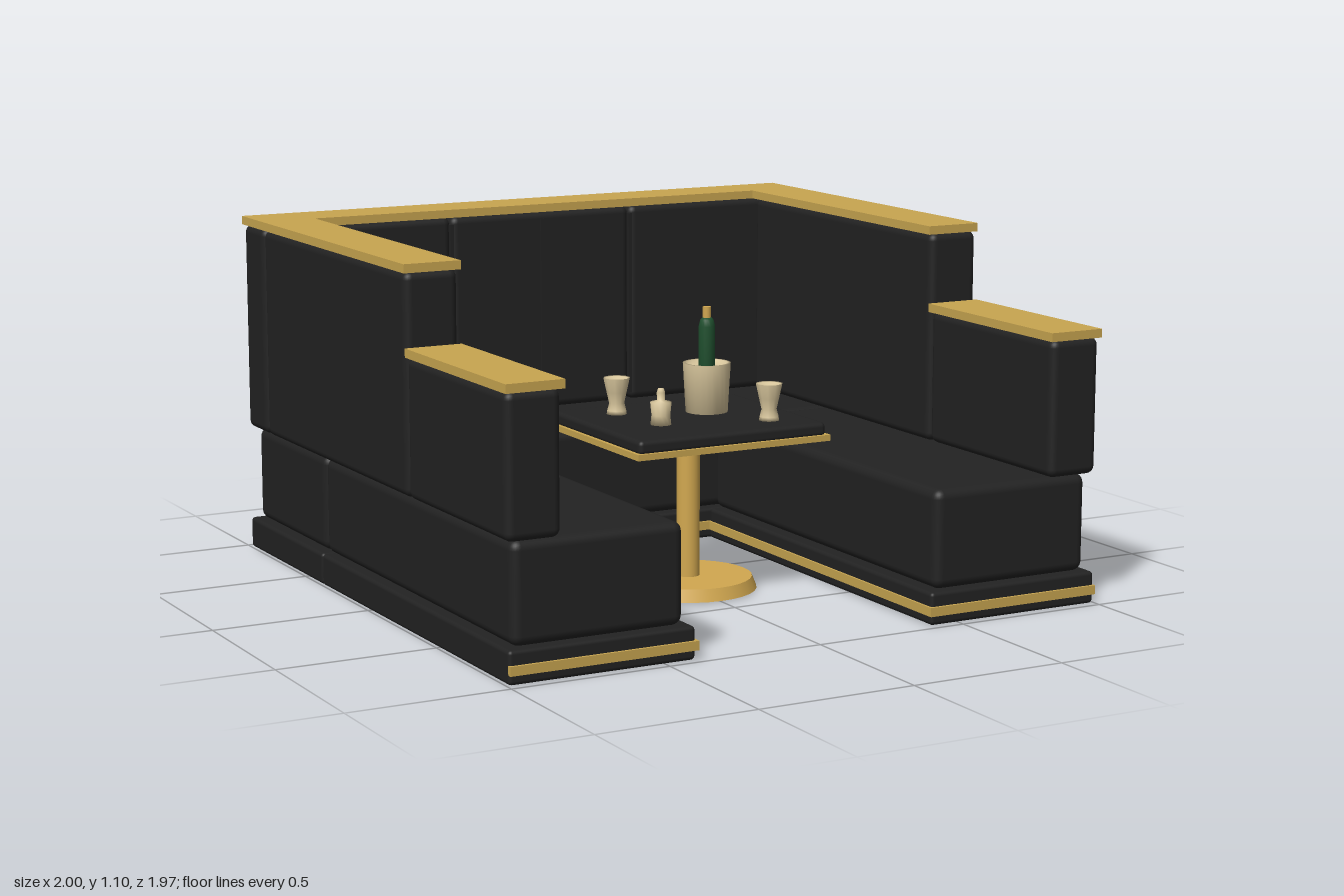
import * as THREE from 'three';
import { RoundedBoxGeometry } from 'three/addons/geometries/RoundedBoxGeometry.js';

const mat = (name, color, extra = {}) => {
  const m = new THREE.MeshStandardMaterial({ color, ...extra });
  m.name = name;
  return m;
};

export function createModel() {
  const root = new THREE.Group();
  root.name = 'diningBooth';
  const leather = mat('black leather', 0x222222);
  const trim = mat('gold trim', 0xc8a550);
  const brass = mat('brass', 0xd2a850);
  const cream = mat('cream ceramic', 0xd8c69c, { side: THREE.DoubleSide });
  const glass = mat('green glass', 0x20502f);

  const add = (name, geometry, material, x = 0, y = 0, z = 0, parent = root) => {
    const mesh = new THREE.Mesh(geometry, material);
    mesh.name = name;
    mesh.position.set(x, y, z);
    parent.add(mesh);
    return mesh;
  };
  // Boxes given by their limits; r > 0 rounds the edges
  const box = (name, material, [x0, x1], [y0, y1], [z0, z1], r = 0) => {
    const s = [x1 - x0, y1 - y0, z1 - z0];
    const g = r ? new RoundedBoxGeometry(...s, 3, r) : new THREE.BoxGeometry(...s);
    return add(name, g, material, (x0 + x1) / 2, (y0 + y1) / 2, (z0 + z1) / 2);
  };
  const lathe = (name, points, material, x, y, z, segments = 24) =>
    add(name, new THREE.LatheGeometry(points.map(p => new THREE.Vector2(...p)), segments), material, x, y, z);

  // Back run: plinth, seat, three upholstered panels, cap
  box('backPlinth', leather, [-0.995, 0.995], [0, 0.1], [-0.98, -0.37], 0.012);
  box('backPlinthTrim', trim, [-0.4, 0.4], [0.03, 0.058], [-0.372, -0.36]);
  box('backSeat', leather, [-0.97, 0.97], [0.1, 0.405], [-0.96, -0.388], 0.03);
  for (const i of [-1, 0, 1]) {
    box('backPanel', leather, [i * 0.665 - 0.332, i * 0.665 + 0.332], [0.405, 1.075], [-0.98, -0.81], 0.025);
  }
  for (const x of [-0.66, -0.333, 0, 0.333]) {
    box('backSeam', leather, [x - 0.006, x + 0.006], [0.43, 1.05], [-0.83, -0.804]);
  }
  box('backCap', trim, [-1, 1], [1.073, 1.1], [-0.985, -0.81]);

  // Mirrored side runs
  for (const s of [-1, 1]) {
    const span = (a, b) => (s > 0 ? [a, b] : [-b, -a]);
    box('sidePlinth', leather, span(0.402, 0.995), [0, 0.1], [-0.37, 0.975], 0.012);
    box('sidePlinthInnerTrim', trim, span(0.395, 0.405), [0.03, 0.058], [-0.37, 0.975]);
    box('sidePlinthFrontTrim', trim, span(0.395, 0.995), [0.03, 0.058], [0.97, 0.984]);
    box('sideSeat', leather, span(0.428, 0.973), [0.1, 0.405], [-0.386, 0.955], 0.03);
    box('sideBack', leather, span(0.825, 0.997), [0.405, 1.075], [-0.808, 0.305], 0.025);
    box('armrest', leather, span(0.825, 0.997), [0.405, 0.828], [0.307, 0.973], 0.025);
    box('sideBackCap', trim, span(0.817, 1), [1.073, 1.1], [-0.81, 0.305]);
    box('armrestCap', trim, span(0.817, 1), [0.826, 0.853], [0.305, 0.978]);
  }

  // Pedestal table
  const tz = 0.205;
  box('tableTop', leather, [-0.325, 0.325], [0.5, 0.545], [tz - 0.288, tz + 0.288], 0.015);
  box('tableEdge', trim, [-0.335, 0.335], [0.488, 0.507], [tz - 0.297, tz + 0.297]);
  add('tablePillar', new THREE.CylinderGeometry(0.036, 0.036, 0.455, 24), brass, 0, 0.262, tz);
  add('tableFoot', new THREE.CylinderGeometry(0.2, 0.215, 0.038, 32), brass, 0, 0.022, tz);

  // Tableware
  const top = 0.545;
  lathe('bucket', [[0, 0], [0.066, 0], [0.075, 0.155], [0.066, 0.155], [0.062, 0.14], [0, 0.14]],
    cream, 0.093, top, 0.155);
  lathe('bottle', [[0, 0.1], [0.026, 0.1], [0.026, 0.27], [0.021, 0.29], [0.014, 0.297], [0, 0.297]],
    glass, 0.093, top, 0.155, 16);
  add('bottleCork', new THREE.CylinderGeometry(0.013, 0.013, 0.036, 12), brass, 0.093, 0.858, 0.155);
  for (const [x, z] of [[-0.175, 0.06], [0.19, 0.375]]) {
    lathe('goblet', [[0, 0], [0.032, 0], [0.03, 0.012], [0.024, 0.035], [0.032, 0.07], [0.042, 0.115],
      [0.036, 0.113], [0, 0.1]], cream, x, top, z, 10);
  }
  lathe('lidPot', [[0, 0], [0.032, 0], [0.029, 0.03], [0.033, 0.07], [0.012, 0.076], [0.013, 0.1],
    [0.009, 0.112], [0, 0.114]], cream, -0.138, top, 0.28, 12);

  return root;
}
